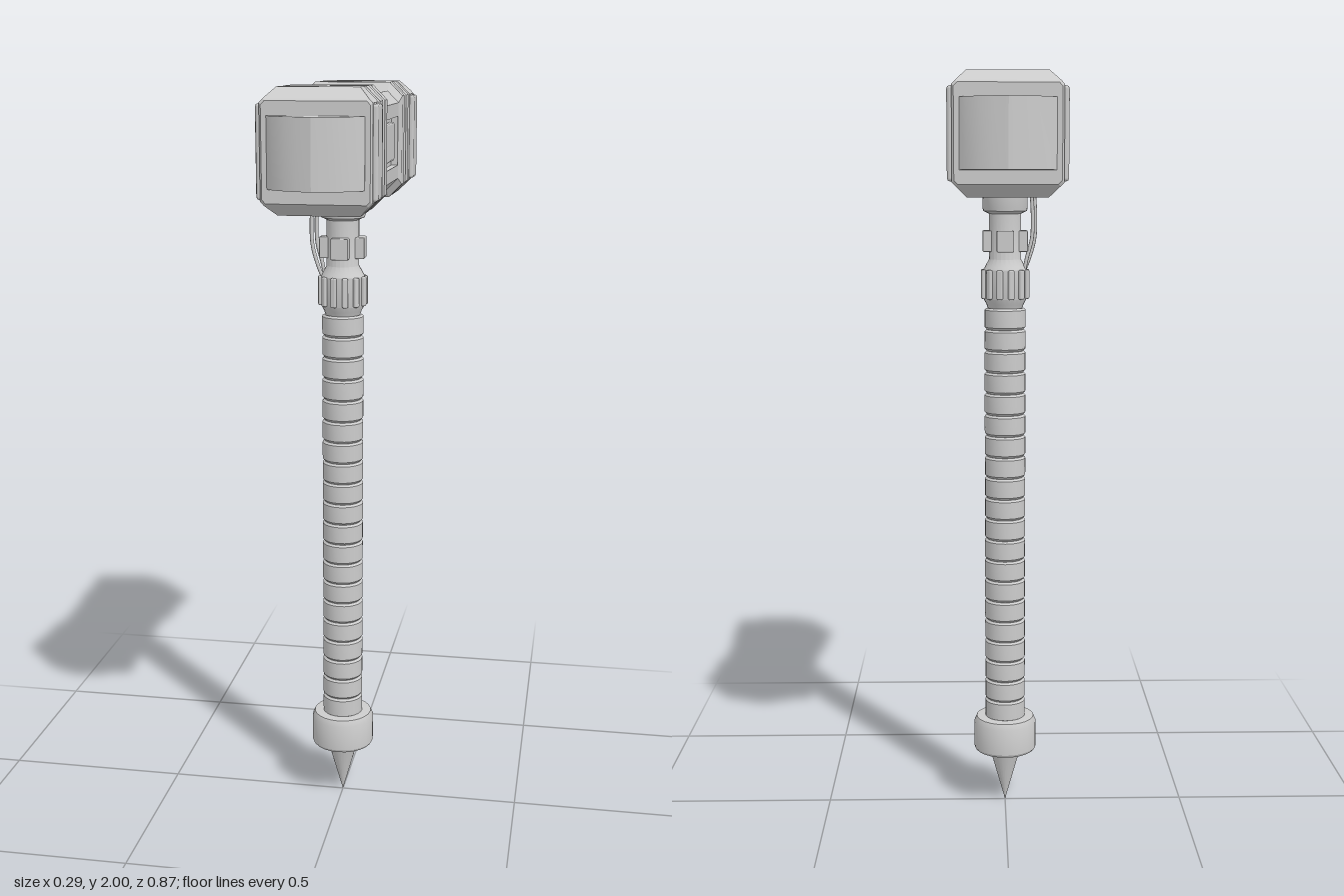
import * as THREE from 'three';
import { toCreasedNormals } from 'three/addons/utils/BufferGeometryUtils.js';
import { RoundedBoxGeometry } from 'three/addons/geometries/RoundedBoxGeometry.js';

const steel = new THREE.MeshStandardMaterial({ color: 0xcccccc });
steel.name = 'steel';

function add(parent, name, geometry) {
  const mesh = new THREE.Mesh(geometry, steel);
  mesh.name = name;
  parent.add(mesh);
  return mesh;
}

const lathe = (pts) => toCreasedNormals(
  new THREE.LatheGeometry(pts.map(([r, y]) => new THREE.Vector2(r, y)), 24), 0.5);

// Chamfered rectangle, counter-clockwise
const octagon = (hx, hy, c) => [
  [hx, -hy + c], [hx, hy - c], [hx - c, hy], [-hx + c, hy],
  [-hx, hy - c], [-hx, -hy + c], [-hx + c, -hy], [hx - c, -hy]];

// Faceted skin through octagons [z, halfWidth, halfHeight, chamfer]
function loft(sections) {
  const rings = sections.map(([z, hx, hy, c]) => octagon(hx, hy, c).map(([x, y]) => [x, y, z]));
  const pos = [];
  const tri = (a, b, c) => pos.push(...a, ...b, ...c);
  for (let i = 0; i < rings.length - 1; i++) {
    for (let j = 0; j < 8; j++) {
      const k = (j + 1) % 8, p = rings[i], q = rings[i + 1];
      tri(p[j], p[k], q[k]);
      tri(p[j], q[k], q[j]);
    }
  }
  const first = rings[0], last = rings[rings.length - 1];
  for (let j = 1; j < 7; j++) {
    tri(first[0], first[j + 1], first[j]);
    tri(last[0], last[j], last[j + 1]);
  }
  const g = new THREE.BufferGeometry();
  g.setAttribute('position', new THREE.Float32BufferAttribute(pos, 3));
  g.computeVertexNormals();
  return g;
}

function extrude(points, depth) {
  const shape = new THREE.Shape(points.map(([x, y]) => new THREE.Vector2(x, y)));
  return new THREE.ExtrudeGeometry(shape, { depth, bevelEnabled: false });
}

function createHead() {
  const head = new THREE.Group();
  head.name = 'head';
  head.position.y = 1.85;

  // Middle block with a recess in each side
  const o = octagon(0.127, 0.128, 0.03), n = 0.063, d = 0.11;
  const notched = [
    o[0], [0.127, -n], [d, -n], [d, n], [0.127, n], o[1], o[2], o[3],
    o[4], [-0.127, n], [-d, n], [-d, -n], [-0.127, -n], o[5], o[6], o[7]];
  add(head, 'middleBlock', extrude(notched, 0.23)).position.z = -0.115;
  add(head, 'sidePanels', new RoundedBoxGeometry(0.242, 0.1, 0.2, 1, 0.006));

  for (const side of [1, -1]) {
    const end = new THREE.Group();
    end.name = side > 0 ? 'frontEnd' : 'backEnd';
    end.rotation.y = side > 0 ? 0 : Math.PI;
    head.add(end);

    // Banded end block
    add(end, 'bands', loft([
      [0.115, 0.127, 0.128, 0.03], [0.125, 0.127, 0.128, 0.03],
      [0.142, 0.135, 0.15, 0.035], [0.184, 0.135, 0.15, 0.035],
      [0.19, 0.13, 0.145, 0.035], [0.209, 0.13, 0.145, 0.035],
      [0.215, 0.135, 0.15, 0.035], [0.262, 0.135, 0.15, 0.035],
      [0.267, 0.13, 0.145, 0.035], [0.285, 0.13, 0.145, 0.035],
      [0.289, 0.135, 0.15, 0.035], [0.34, 0.135, 0.15, 0.035],
      [0.373, 0.135, 0.124, 0.009], [0.378, 0.13, 0.119, 0.009]]));
    add(end, 'cheekPads', new RoundedBoxGeometry(0.294, 0.225, 0.075, 1, 0.008)).position.z = 0.331;

    // Curved striking face
    const face = [[-0.117, 0.37], [0.117, 0.37], [0.117, 0.379], [0.1, 0.397],
      [0.067, 0.417], [0.035, 0.428], [0, 0.436],
      [-0.035, 0.428], [-0.067, 0.417], [-0.1, 0.397], [-0.117, 0.379]];
    const g = toCreasedNormals(extrude(face, 0.17).rotateX(Math.PI / 2), 0.4);
    add(end, 'strikingFace', g).position.y = 0.085;
  }
  return head;
}

function createHandle() {
  const handle = new THREE.Group();
  handle.name = 'handle';

  add(handle, 'spike', lathe([[0, 0], [0.045, 0.16], [0, 0.16]]));
  add(handle, 'pommel', lathe([[0, 0.158], [0.083, 0.158], [0.087, 0.165], [0.087, 0.238],
    [0.08, 0.254], [0.05, 0.256], [0, 0.256]]));

  // Grip wrapped in bands
  const grip = [], count = 20, bottom = 0.25, pitch = 0.0578;
  for (let i = 0; i < count; i++) {
    const y = bottom + i * pitch;
    grip.push([0.05, y], [0.0555, y + 0.006], [0.0555, y + pitch - 0.006], [0.05, y + pitch - 0.0005]);
  }
  add(handle, 'grip', lathe(grip));

  // Collar, neck and head socket
  add(handle, 'neck', lathe([[0.045, 1.4], [0.05, 1.415], [0.058, 1.43], [0.058, 1.508],
    [0.054, 1.515], [0.043, 1.535], [0.043, 1.655], [0.058, 1.662], [0.06, 1.67], [0.06, 1.73]]));

  // Ribs around the collar
  for (let i = 0; i < 12; i++) {
    const a = (i + 0.5) * Math.PI / 6;
    const rib = add(handle, 'collarRib', new RoundedBoxGeometry(0.016, 0.078, 0.02, 1, 0.004));
    rib.position.set(Math.sin(a) * 0.056, 1.469, Math.cos(a) * 0.056);
    rib.rotation.y = a;
  }

  // Four studs on the neck
  for (let i = 0; i < 4; i++) {
    const a = i * Math.PI / 2;
    const stud = add(handle, 'neckStud', new RoundedBoxGeometry(0.046, 0.056, 0.03, 1, 0.003));
    stud.position.set(Math.sin(a) * 0.045, 1.583, Math.cos(a) * 0.045);
    stud.rotation.y = a;
  }

  // Two cables from the head to the collar
  for (const [z, x] of [[0.014, -0.081], [-0.014, -0.073]]) {
    const path = new THREE.CatmullRomCurve3([
      [x + 0.004, 1.72], [x, 1.65], [x + 0.002, 1.59], [x + 0.015, 1.54], [-0.05, 1.5],
    ].map(([px, py]) => new THREE.Vector3(px, py, z)));
    add(handle, 'cable', new THREE.TubeGeometry(path, 20, 0.005, 8));
  }
  return handle;
}

export function createModel() {
  const model = new THREE.Group();
  model.name = 'warHammer';
  model.add(createHead(), createHandle());
  return model;
}
